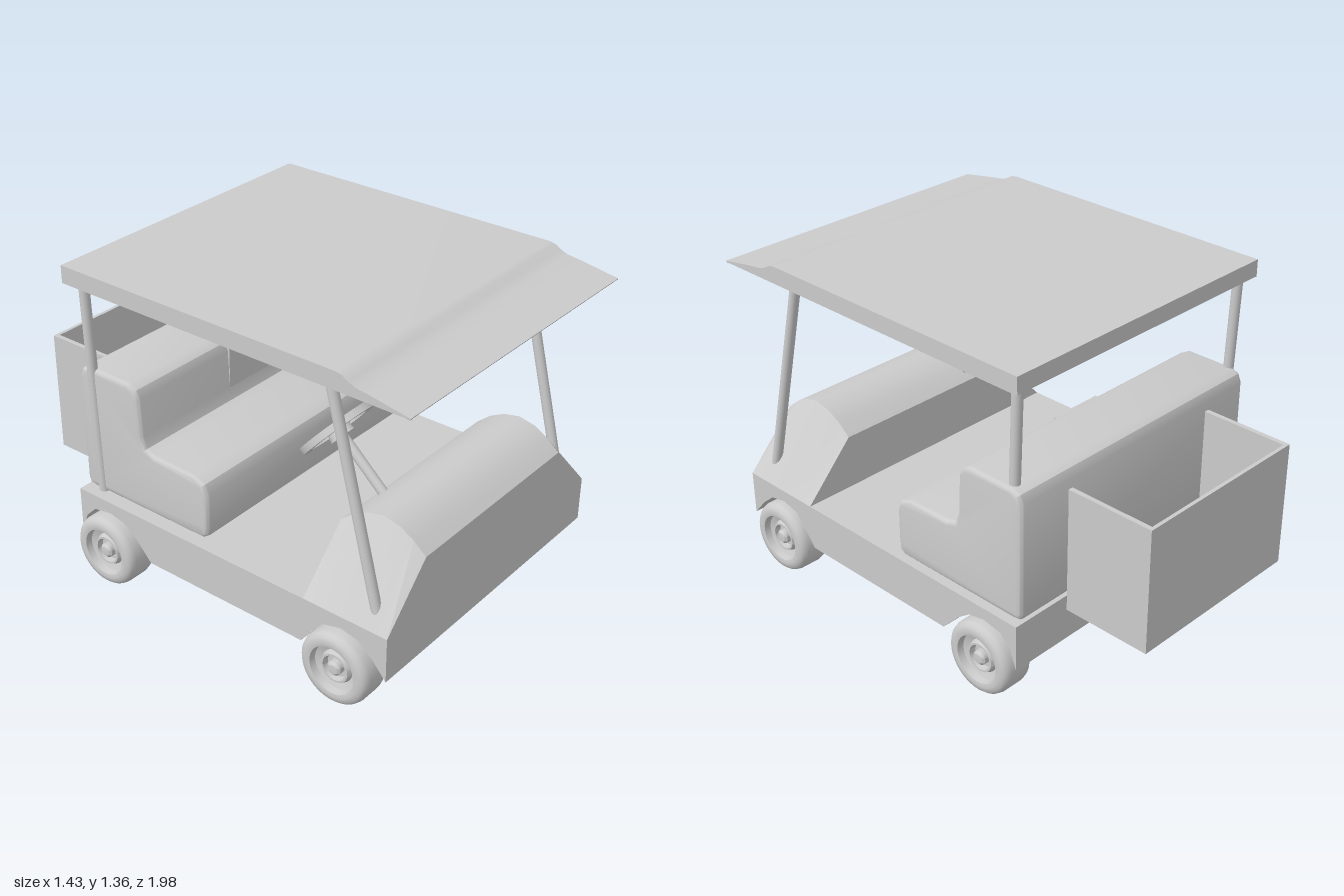
import * as THREE from 'three';
import { toCreasedNormals } from 'three/addons/utils/BufferGeometryUtils.js';

const material = new THREE.MeshStandardMaterial({ color: 0xcccccc, side: THREE.DoubleSide });

function add(parent, name, geometry, x = 0, y = 0, z = 0) {
  const mesh = new THREE.Mesh(geometry, material);
  mesh.name = name;
  mesh.position.set(x, y, z);
  parent.add(mesh);
  return mesh;
}

// Side profile of [z, y] points, extruded across the vehicle from x0 to x1
function sideExtrude(points, x0, x1, bevel = 0) {
  const shape = new THREE.Shape(points.map(([z, y]) => new THREE.Vector2(z, y)));
  const g = new THREE.ExtrudeGeometry(shape, {
    depth: x1 - x0 - 2 * bevel, bevelEnabled: bevel > 0,
    bevelSize: bevel, bevelThickness: bevel, bevelOffset: -bevel, bevelSegments: 4,
  });
  g.rotateY(-Math.PI / 2);
  g.translate(x1 - bevel, 0, 0);
  return toCreasedNormals(g, 0.6);
}

function lathe(points, segments, crease = 0.6) {
  const g = new THREE.LatheGeometry(points.map(([r, y]) => new THREE.Vector2(r, y)), segments);
  return toCreasedNormals(g, crease);
}

// Round bar between two points
function bar(parent, name, from, to, radius) {
  const a = new THREE.Vector3(...from), b = new THREE.Vector3(...to);
  const mesh = add(parent, name, new THREE.CylinderGeometry(radius, radius, a.distanceTo(b), 16));
  mesh.position.copy(a).add(b).multiplyScalar(0.5);
  mesh.quaternion.setFromUnitVectors(new THREE.Vector3(0, 1, 0), b.sub(a).normalize());
}

// Front cowl: full profile in the middle, flattening to the floor at both sides
function cowlGeometry() {
  const profile = [[0.905, 0.365], [0.905, 0.595], [0.85, 0.64], [0.79, 0.675], [0.72, 0.69],
    [0.65, 0.675], [0.59, 0.645], [0.53, 0.595], [0.53, 0.365]];
  const columns = [[-0.66, 0], [-0.44, 1], [0.45, 1], [0.67, 0]];
  const positions = [], index = [];
  for (const [z, y] of profile)
    for (const [x, k] of columns) positions.push(x, 0.365 + (y - 0.365) * k, z);
  for (let i = 0; i < profile.length - 1; i++)
    for (let j = 0; j < 3; j++) {
      const a = i * 4 + j, b = a + 1, c = a + 5, d = a + 4;
      if (j === 0) index.push(a, b, c, a, c, d);
      else index.push(a, b, d, b, c, d);
    }
  const g = new THREE.BufferGeometry();
  g.setAttribute('position', new THREE.Float32BufferAttribute(positions, 3));
  g.setIndex(index);
  return toCreasedNormals(g, 0.5);
}

export function createModel() {
  const cart = new THREE.Group();
  cart.name = 'utilityCart';

  // Chassis with wheel arches running the full width
  add(cart, 'chassis', sideExtrude([
    [0.905, 0.365], [0.905, 0.175], [0.84, 0.25], [0.78, 0.3], [0.7, 0.315], [0.62, 0.295],
    [0.57, 0.235], [0.52, 0.17], [-0.24, 0.17], [-0.32, 0.255], [-0.38, 0.3], [-0.455, 0.315],
    [-0.54, 0.3], [-0.59, 0.25], [-0.62, 0.17], [-0.62, 0.365],
  ], -0.66, 0.67));
  add(cart, 'frontCowl', cowlGeometry());

  // Bench seat with backrest
  add(cart, 'benchSeat', sideExtrude([
    [0.0, 0.37], [0.022, 0.385], [0.028, 0.42], [0.028, 0.57], [0.01, 0.61], [-0.04, 0.632],
    [-0.24, 0.637], [-0.285, 0.652], [-0.303, 0.7], [-0.31, 0.86], [-0.325, 0.895], [-0.36, 0.915],
    [-0.57, 0.915], [-0.605, 0.9], [-0.62, 0.865], [-0.62, 0.4], [-0.61, 0.375], [-0.58, 0.37],
  ], -0.615, 0.645, 0.02));
  add(cart, 'backrestPad', new THREE.BoxGeometry(0.235, 0.2, 0.03), 0.017, 0.785, -0.317);

  // Rear cargo bin, open on top
  const bin = new THREE.Group();
  bin.name = 'cargoBin';
  cart.add(bin);
  add(bin, 'binFloor', new THREE.BoxGeometry(0.8, 0.02, 0.38), 0, 0.31, -0.81);
  add(bin, 'binBackWall', new THREE.BoxGeometry(0.8, 0.525, 0.015), 0, 0.5625, -0.9925);
  for (const s of [-1, 1])
    add(bin, 'binSideWall', new THREE.BoxGeometry(0.02, 0.525, 0.38), s * 0.39, 0.5625, -0.81);

  // Roof: thin sheet with a sloped visor, closed by side skirts
  const roof = new THREE.Group();
  roof.name = 'roof';
  cart.add(roof);
  const top = [[-0.6, 1.36], [0.68, 1.36], [0.705, 1.355], [0.73, 1.34], [0.76, 1.328],
    [0.82, 1.32], [0.98, 1.293]];
  const under = top.slice(1).reverse().map(([z, y]) => [z - 0.005, y - 0.008]);
  add(roof, 'roofSheet', sideExtrude(
    [...top, ...under, [-0.592, 1.352], [-0.592, 1.29], [-0.6, 1.29]], -0.68, 0.64));
  for (const x of [-0.68, 0.634])
    add(roof, 'roofSkirt', sideExtrude([...top, [0.98, 1.288], [-0.6, 1.288]], x, x + 0.006));

  // Roof posts
  for (const x of [-0.605, 0.605]) {
    bar(cart, 'frontPost', [x, 0.41, 0.82], [x, 1.32, 0.59], 0.021);
    bar(cart, 'rearPost', [x, 0.37, -0.535], [x, 1.355, -0.57], 0.021);
  }

  // Steering wheel and column, tilted towards the driver
  const steering = new THREE.Group();
  steering.name = 'steering';
  steering.position.set(-0.245, 0.825, 0.355);
  steering.rotation.x = -0.84;
  cart.add(steering);
  add(steering, 'steeringRim', lathe(
    [[0.125, -0.014], [0.16, -0.014], [0.16, 0.014], [0.125, 0.014], [0.125, -0.014]], 24));
  add(steering, 'steeringHub', new THREE.CylinderGeometry(0.045, 0.052, 0.05, 20), 0, -0.015, 0);
  for (let i = 0; i < 3; i++) {
    const spoke = new THREE.BoxGeometry(0.035, 0.014, 0.11);
    spoke.translate(0, 0, 0.085);
    spoke.rotateY(i * Math.PI * 2 / 3);
    add(steering, 'steeringSpoke', spoke);
  }
  add(steering, 'steeringColumn', new THREE.CylinderGeometry(0.02, 0.02, 0.32, 16), 0, -0.16, 0);

  // Wheels with stepped rims, joined by axles
  const wheelProfile = [[0, -0.075], [0.115, -0.075], [0.136, -0.07], [0.147, -0.058], [0.152, -0.04],
    [0.152, 0.04], [0.147, 0.058], [0.136, 0.07], [0.115, 0.075], [0.1, 0.072], [0.095, 0.045],
    [0.068, 0.035], [0.06, 0.055], [0.052, 0.055], [0.048, 0.03], [0.03, 0.03], [0.03, 0.055],
    [0.02, 0.064], [0, 0.066]];
  for (const z of [0.7, -0.455]) {
    bar(cart, 'axle', [-0.6, 0.155, z], [0.6, 0.155, z], 0.02);
    for (const s of [-1, 1]) {
      const wheel = lathe(wheelProfile, 40);
      wheel.rotateZ(-s * Math.PI / 2);
      add(cart, 'wheel', wheel, s * 0.638, 0.153, z);
    }
  }
  return cart;
}
